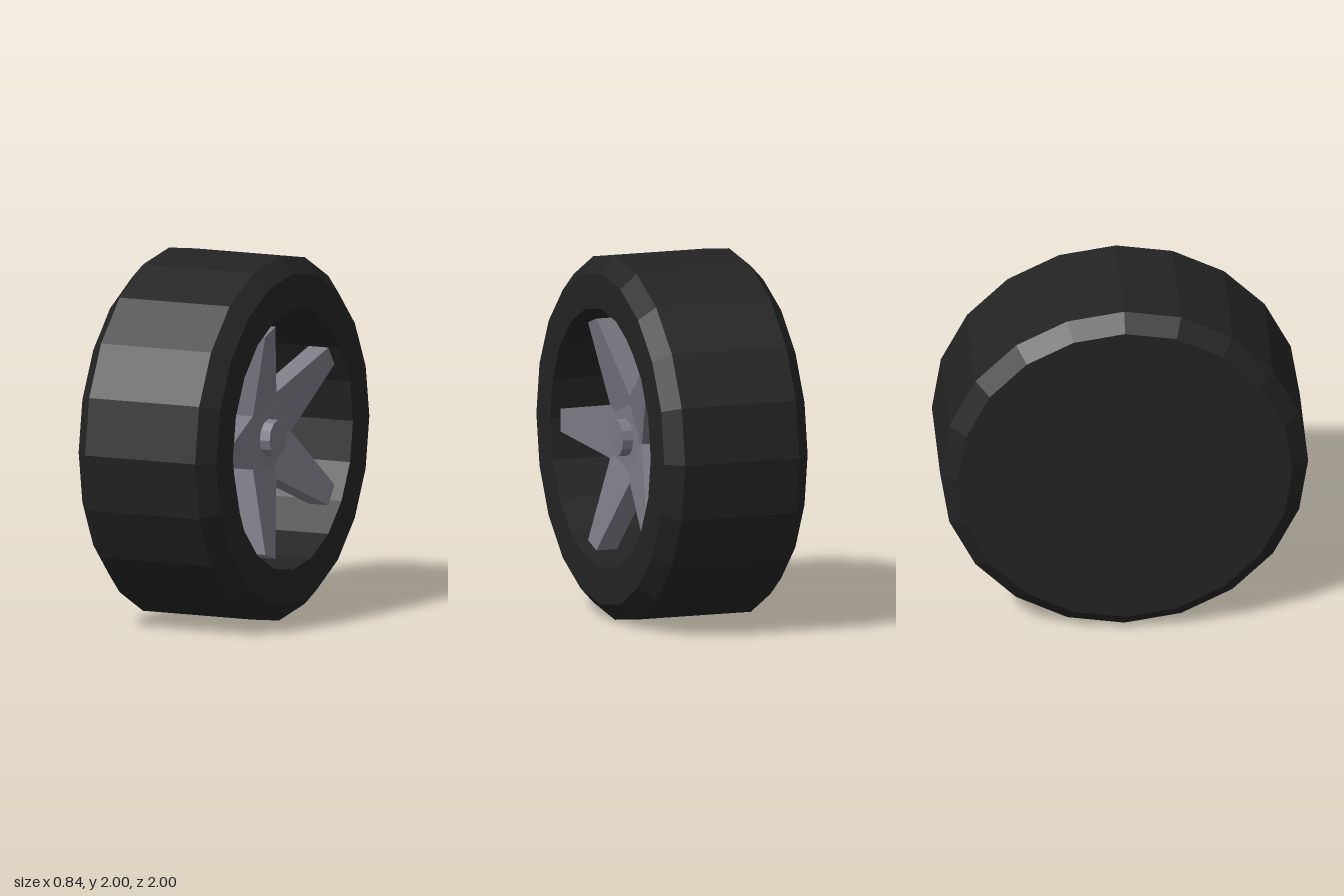
import * as THREE from 'three';

export function createModel() {
  const rubber = new THREE.MeshStandardMaterial({ color: 0x232323, flatShading: true });
  rubber.name = 'black rubber';
  const metal = new THREE.MeshStandardMaterial({ color: 0x7b7a85, flatShading: true });
  metal.name = 'grey metal';

  const model = new THREE.Group();
  model.name = 'wheel';
  model.position.y = 1;

  const add = (name, geometry, material) => {
    const mesh = new THREE.Mesh(geometry, material);
    mesh.name = name;
    model.add(mesh);
  };

  // Tyre: closed on the inner side, recessed on the outer (+x) side
  const profile = [
    [0, -0.42], [0.91, -0.42], [1, -0.335], [1, 0.335],
    [0.91, 0.42], [0.715, 0.42], [0.715, -0.1], [0, -0.1],
  ].map(([r, h]) => new THREE.Vector2(r, h));
  add('tyre', new THREE.LatheGeometry(profile, 20).rotateZ(-Math.PI / 2), rubber);

  // Hub plate: a pentagon whose corners lie between the spokes
  const thickness = 0.12, plateFront = 0.27, plateRadius = 0.2;
  const half = Math.PI / 5;
  const plate = new THREE.CylinderGeometry(plateRadius, plateRadius, thickness, 5);
  plate.rotateY(half).rotateZ(-Math.PI / 2).translate(plateFront - thickness / 2, 0, 0);
  add('hubPlate', plate, metal);

  // Spokes: tapered and sloping outward towards the tips
  const inner = plateRadius * Math.cos(half);
  const at = (r) => [r * Math.cos(half), r * Math.sin(half)];
  const side = [at(plateRadius), at(0.25), [0.65, 0.063]];
  const outline = [...side, ...side.map(([d, w]) => [d, -w]).reverse()]
    .map(([d, w]) => new THREE.Vector2(d, w));
  const spoke = new THREE.ExtrudeGeometry(new THREE.Shape(outline), { depth: thickness, bevelEnabled: false });
  const p = spoke.attributes.position;
  for (let i = 0; i < p.count; i++) {
    p.setZ(i, p.getZ(i) + plateFront - thickness + 0.236 * (p.getX(i) - inner));
  }
  spoke.rotateY(Math.PI / 2).rotateX(Math.PI); // point the first spoke to the front
  for (let k = 0; k < 5; k++) {
    add('spoke', spoke.clone().rotateX(k * 2 * half), metal);
  }

  // Centre cap
  const cap = new THREE.CylinderGeometry(0.102, 0.102, 0.18, 12);
  add('centreCap', cap.rotateZ(-Math.PI / 2).translate(0.24, 0, 0), metal);

  const root = new THREE.Group();
  root.add(model);
  return root;
}
